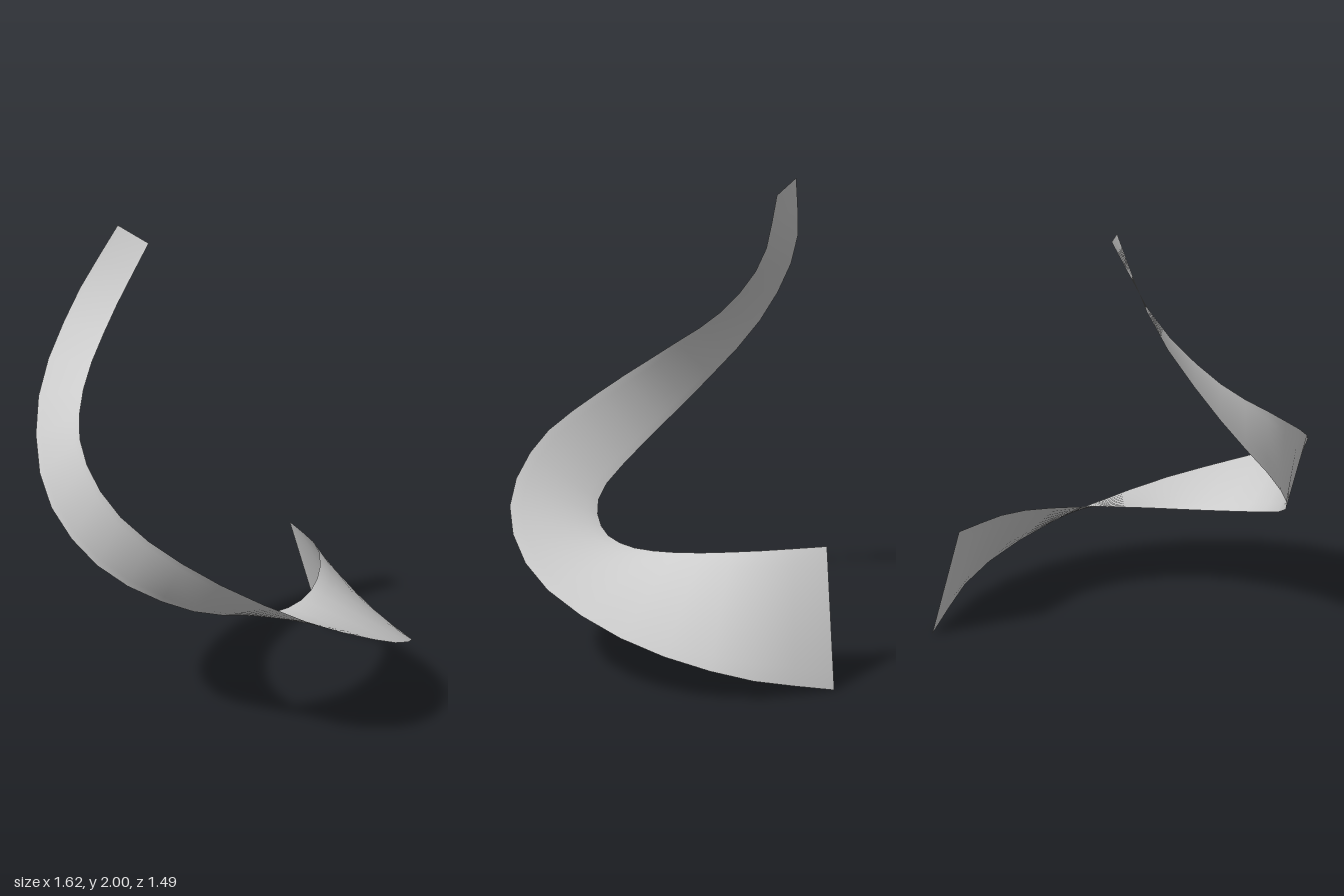
import * as THREE from 'three';

const ROWS = 25; // steps along the ribbon
const COLS = 8;  // steps across the ribbon

// Smooth edge curve through evenly spaced points
const edge = (points) => new THREE.CatmullRomCurve3(
  points.map((p) => new THREE.Vector3(...p)), false, 'catmullrom', 0.5);

// Surface ruled between two edge curves
function ruledSurface(a, b) {
  const positions = [], index = [];
  for (let i = 0; i <= ROWS; i++) {
    const p = a.getPoint(i / ROWS), q = b.getPoint(i / ROWS);
    for (let j = 0; j <= COLS; j++) {
      positions.push(...p.clone().lerp(q, j / COLS).toArray());
      if (i < ROWS && j < COLS) {
        const k = i * (COLS + 1) + j, n = k + COLS + 1;
        index.push(k, n, k + 1, n, n + 1, k + 1);
      }
    }
  }
  const geometry = new THREE.BufferGeometry();
  geometry.setAttribute('position', new THREE.Float32BufferAttribute(positions, 3));
  geometry.setIndex(index);
  geometry.computeVertexNormals();
  return geometry;
}

export function createModel() {
  const group = new THREE.Group();
  group.name = 'twistedRibbon';

  // Wide edge: outer at the foot, inner near the tip
  const wideEdge = edge([
    [0.81, 0, -0.14], [0.70, 0.105, 0.285], [0.39, 0.24, 0.61], [-0.055, 0.41, 0.745],
    [-0.48, 0.61, 0.63], [-0.755, 0.82, 0.33], [-0.81, 1.0, -0.02], [-0.695, 1.19, -0.31],
    [-0.48, 1.38, -0.485], [-0.24, 1.63, -0.535], [-0.05, 1.93, -0.475],
  ]);
  // Tight edge: inner at the foot, outer near the tip
  const tightEdge = edge([
    [0.65, 0.55, -0.22], [0.47, 0.53, 0.055], [0.21, 0.495, 0.23], [-0.06, 0.477, 0.30],
    [-0.33, 0.50, 0.26], [-0.60, 0.583, 0.095], [-0.74, 0.74, -0.21], [-0.705, 0.99, -0.515],
    [-0.50, 1.32, -0.72], [-0.255, 1.67, -0.737], [-0.09, 2.0, -0.61],
  ]);

  const material = new THREE.MeshStandardMaterial({ color: 0xcccccc, side: THREE.DoubleSide });
  material.name = 'light grey';
  const ribbon = new THREE.Mesh(ruledSurface(wideEdge, tightEdge), material);
  ribbon.name = 'ribbon';
  group.add(ribbon);
  return group;
}
